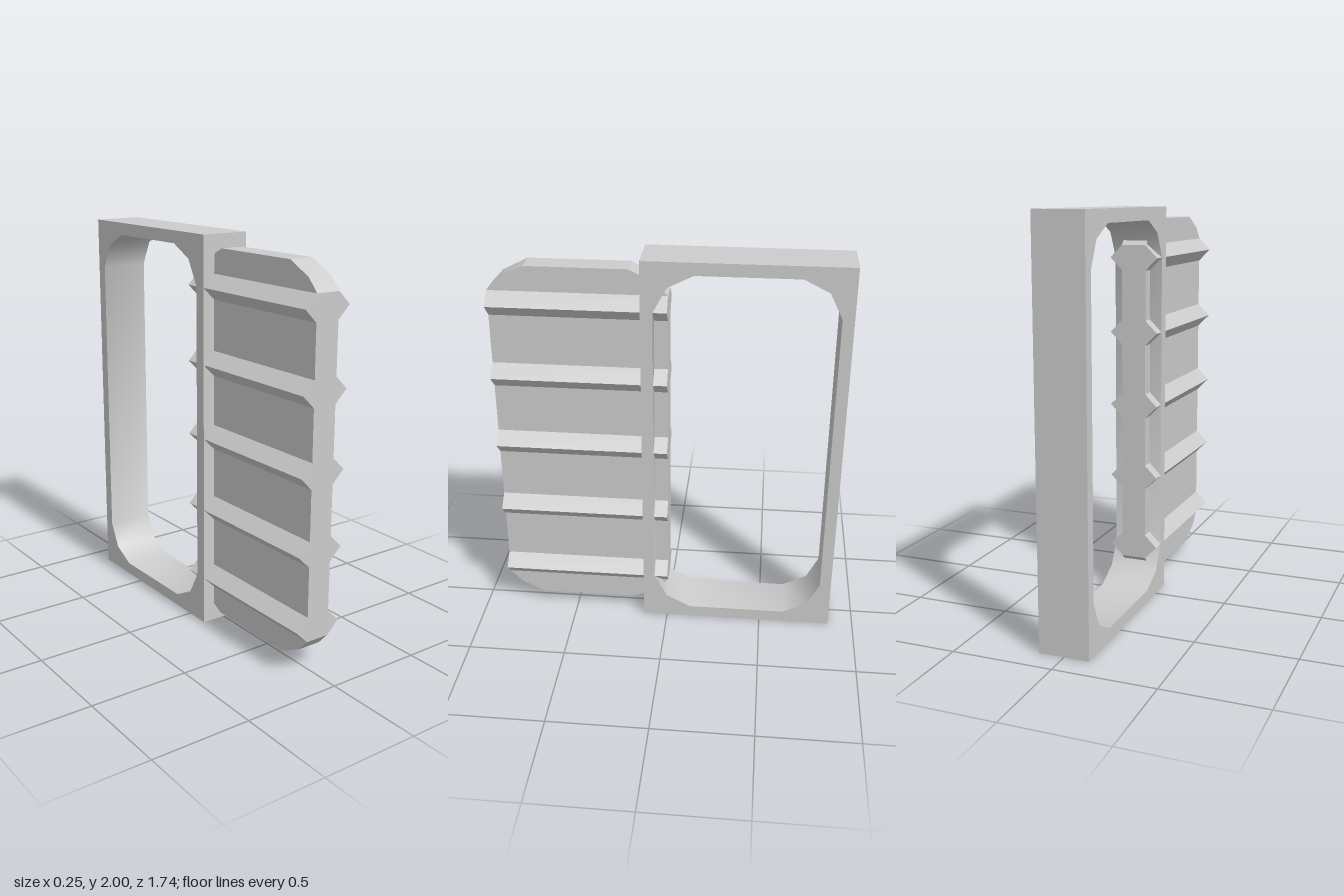
import * as THREE from 'three';
import { toCreasedNormals } from 'three/addons/utils/BufferGeometryUtils.js';

const material = new THREE.MeshStandardMaterial({ color: 0xcccccc });
const END = 0.87; // half of the overall length along z

// Add the vertical mirror image (about y = 1) of an upper half outline
function closeOutline(upper) {
  const lower = upper.map(([z, y]) => [z, 2 - y]).reverse();
  return [...upper, ...lower].map(([z, y]) => new THREE.Vector2(z, y));
}

// Extrude a (z, y) side profile across x, centred on x = 0
function sidePart(name, shape, width, crease) {
  const geometry = new THREE.ExtrudeGeometry(shape, { depth: width, bevelEnabled: false });
  geometry.translate(0, 0, -width / 2).rotateY(-Math.PI / 2);
  const mesh = new THREE.Mesh(toCreasedNormals(geometry, crease), material);
  mesh.name = name;
  return mesh;
}

export function createModel() {
  const model = new THREE.Group();
  model.name = 'ribbedPlateWithFrame';

  // Tall rectangular frame; the corner-cut opening winds the opposite way
  const frame = new THREE.Shape(closeOutline([[-END, 2], [0.127, 2]]));
  frame.holes.push(new THREE.Path(closeOutline([
    [0.0675, 1.75], [0, 1.875], [-0.125, 1.9375],
    [-0.625, 1.9375], [-0.75, 1.875], [-0.8125, 1.75],
  ])));
  model.add(sidePart('frame', frame, 0.25, 0.7));

  // Thin plate running through the front bar of the frame
  const plate = new THREE.Shape(closeOutline([
    [0, 1.8125], [0.0625, 1.875], [0.1875, 1.9375],
    [0.6875, 1.9375], [0.8125, 1.875], [END, 1.8125],
  ]));
  model.add(sidePart('plate', plate, 0.125, 0.4));

  // Five V-shaped ribs along each face of the plate
  const ribs = new THREE.Group();
  ribs.name = 'ribs';
  const ribShape = new THREE.Shape([
    new THREE.Vector2(0.0625, -0.0625),
    new THREE.Vector2(0.125, 0),
    new THREE.Vector2(0.0625, 0.0625),
  ]);
  const ribGeometry = new THREE.ExtrudeGeometry(ribShape, { depth: END, bevelEnabled: false });
  for (let i = 0; i < 5; i++) {
    for (const side of [1, -1]) {
      const rib = new THREE.Mesh(ribGeometry, material);
      rib.name = side > 0 ? 'leftRib' : 'rightRib';
      rib.position.y = 0.25 + i * 0.375;
      // Half a turn puts the same rib on the opposite face
      if (side < 0) {
        rib.rotation.y = Math.PI;
        rib.position.z = END;
      }
      ribs.add(rib);
    }
  }
  model.add(ribs);

  return model;
}
